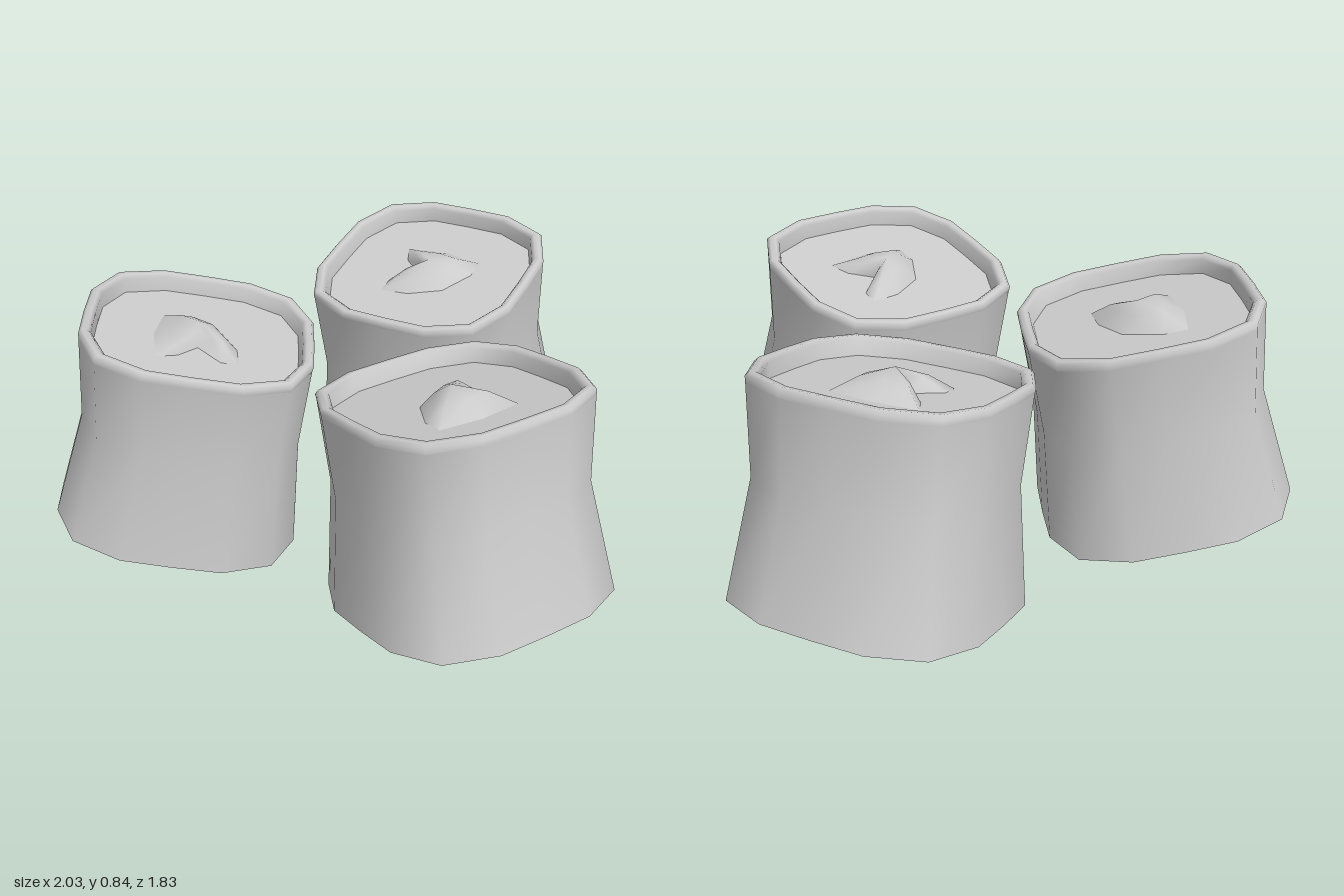
import * as THREE from 'three';

const SIDES = 16;
const TILT = 0.192; // backward lean of every cross-section
const PIVOT_Z = -0.145; // the three stumps are spaced evenly around this point

const material = new THREE.MeshStandardMaterial({ color: 0xcccccc, side: THREE.DoubleSide });

// Rounded-square outline with half-width 1
const outline = [];
for (let i = 0; i < SIDES; i++) {
  const a = (i / SIDES) * Math.PI * 2;
  const r = 1 + 0.145 * Math.sin(2 * a) ** 2;
  outline.push([r * Math.cos(a), r * Math.sin(a)]);
}

// Joins scaled copies of an outline; each ring is { z, y, r, h }, with h along the tilted axis
function loft(name, points, rings, capped = false) {
  const n = points.length, pos = [], index = [];
  const c = Math.cos(TILT), s = Math.sin(TILT);
  const place = (x, v, { z, y, h = 0 }) => pos.push(x, y + v * s + h * c, z + v * c - h * s);
  for (const ring of rings) for (const [x, v] of points) place(x * ring.r, v * ring.r, ring);
  for (let j = 0; j < rings.length - 1; j++) {
    for (let i = 0; i < n; i++) {
      const a = j * n + i, b = j * n + (i + 1) % n;
      index.push(a, a + n, b, b, a + n, b + n);
    }
  }
  if (capped) {
    const last = rings.length - 1;
    place(0, 0, { ...rings[last], h: rings[last].cap });
    for (let i = 0; i < n; i++) index.push(last * n + i, rings.length * n, last * n + (i + 1) % n);
  }
  const geometry = new THREE.BufferGeometry();
  geometry.setAttribute('position', new THREE.Float32BufferAttribute(pos, 3));
  geometry.setIndex(index);
  geometry.computeVertexNormals();
  const mesh = new THREE.Mesh(geometry, material);
  mesh.name = name;
  return mesh;
}

function createStump() {
  const stump = new THREE.Group();
  const top = { z: 0.385, y: 0.77 };

  // Open-bottomed flaring wall with a waist
  stump.add(loft('wall', outline, [
    { z: 0.505, y: 0.08, r: 0.413 },
    { z: 0.43, y: 0.455, r: 0.365 },
    { ...top, r: 0.382, h: -0.03 },
  ]));

  // Rounded lip
  stump.add(loft('rim', outline, [
    { ...top, r: 0.382, h: -0.03 },
    { ...top, r: 0.384, h: -0.012 },
    { ...top, r: 0.374, h: 0 },
    { ...top, r: 0.357, h: 0 },
    { ...top, r: 0.345, h: -0.012 },
    { ...top, r: 0.337, h: -0.065 },
  ]));

  // Sunken floor
  stump.add(loft('floor', outline, [{ ...top, r: 0.338, h: -0.06, cap: -0.06 }], true));

  // Notched mound in the middle of the floor, listed so the loft faces upward
  const heart = [
    [0.05, 0], [0.12, 0.06], [0.15, 0.13], [0, 0.15], [-0.14, 0.13], [-0.14, 0.05],
    [-0.08, -0.07], [0.03, -0.13], [0.13, -0.14], [0.13, -0.08],
  ];
  stump.add(loft('mound', heart, [
    { ...top, r: 1, h: -0.06 },
    { ...top, r: 0.55, h: -0.015, cap: 0.012 },
  ], true));

  stump.children.forEach((part) => { part.position.z = -PIVOT_Z; });
  return stump;
}

export function createModel() {
  const model = new THREE.Group();
  model.name = 'stumpCluster';
  ['frontStump', 'leftStump', 'rightStump'].forEach((name, i) => {
    const stump = createStump();
    stump.name = name;
    stump.position.z = PIVOT_Z;
    stump.rotation.y = (i * Math.PI * 2) / 3;
    model.add(stump);
  });
  return model;
}
